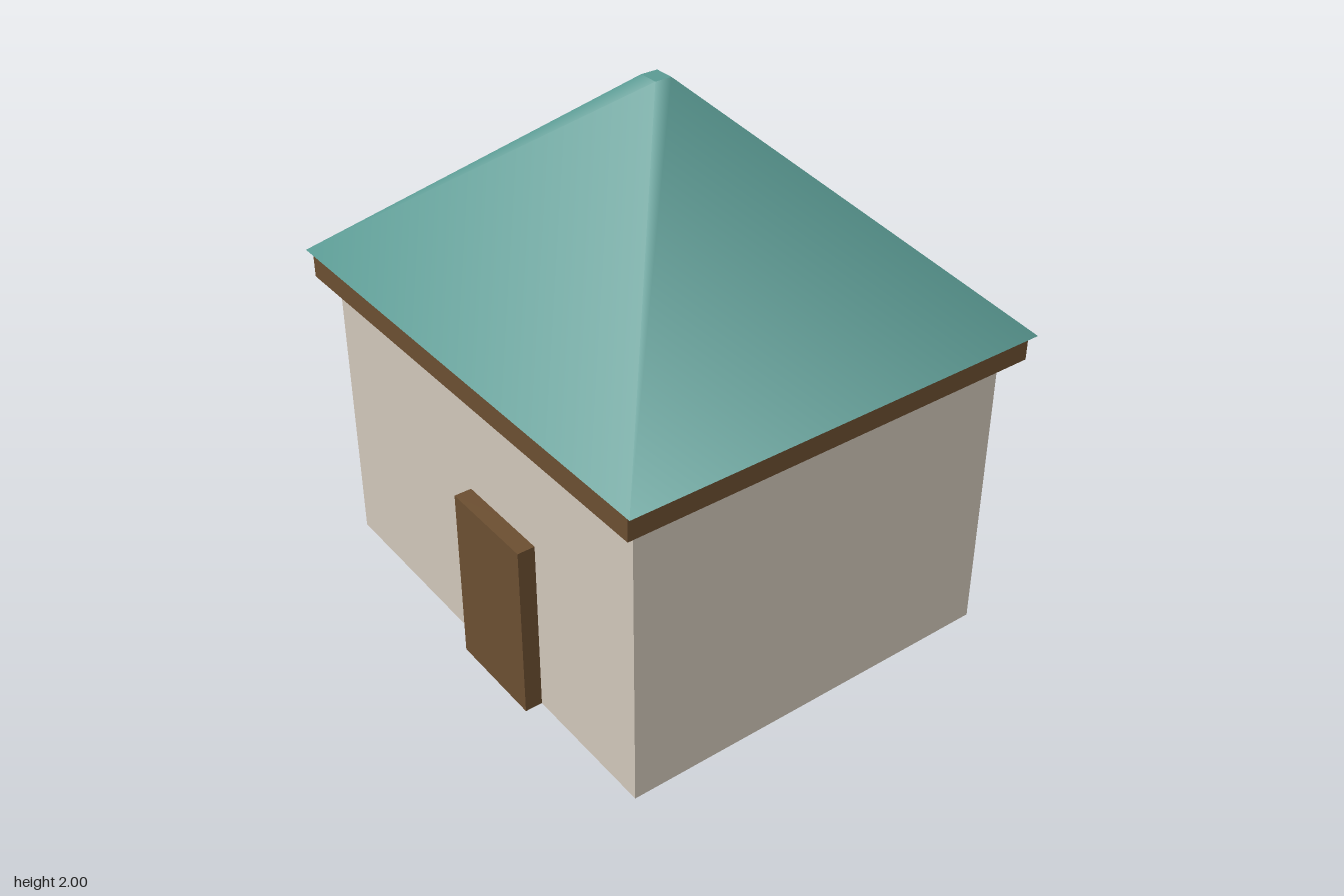
import * as THREE from 'three';

const paint = (color) => new THREE.MeshStandardMaterial({ color });

export function createModel() {
  const house = new THREE.Group();
  house.name = 'house';
  const plaster = paint(0xd0c6b9);
  const wood = paint(0x6b4e31);
  const tile = paint(0x5a9a93);

  // Box given by its size, with its underside centred at (x, y, z)
  const box = (name, material, [w, h, d], [x, y, z]) => {
    const mesh = new THREE.Mesh(new THREE.BoxGeometry(w, h, d), material);
    mesh.name = name;
    mesh.position.set(x, y + h / 2, z);
    house.add(mesh);
  };

  box('walls', plaster, [1.786, 1.11, 1.5], [0, 0, 0]);
  box('eavesBeam', wood, [1.91, 0.1, 1.626], [0, 1.11, 0]);
  box('door', wood, [0.39, 0.68, 0.13], [0.155, 0, 0.75]);

  // Hipped roof: four-sided frustum with softly shaded hips and a tiny flat top
  const roofGeometry = new THREE.CylinderGeometry(0.038, 0.983, 0.79, 4, 1, false, Math.PI / 4);
  roofGeometry.scale(Math.SQRT2, 1, Math.SQRT2 * 0.84);
  const roof = new THREE.Mesh(roofGeometry, tile);
  roof.name = 'roof';
  roof.position.y = 1.21 + 0.79 / 2;
  house.add(roof);

  return house;
}
